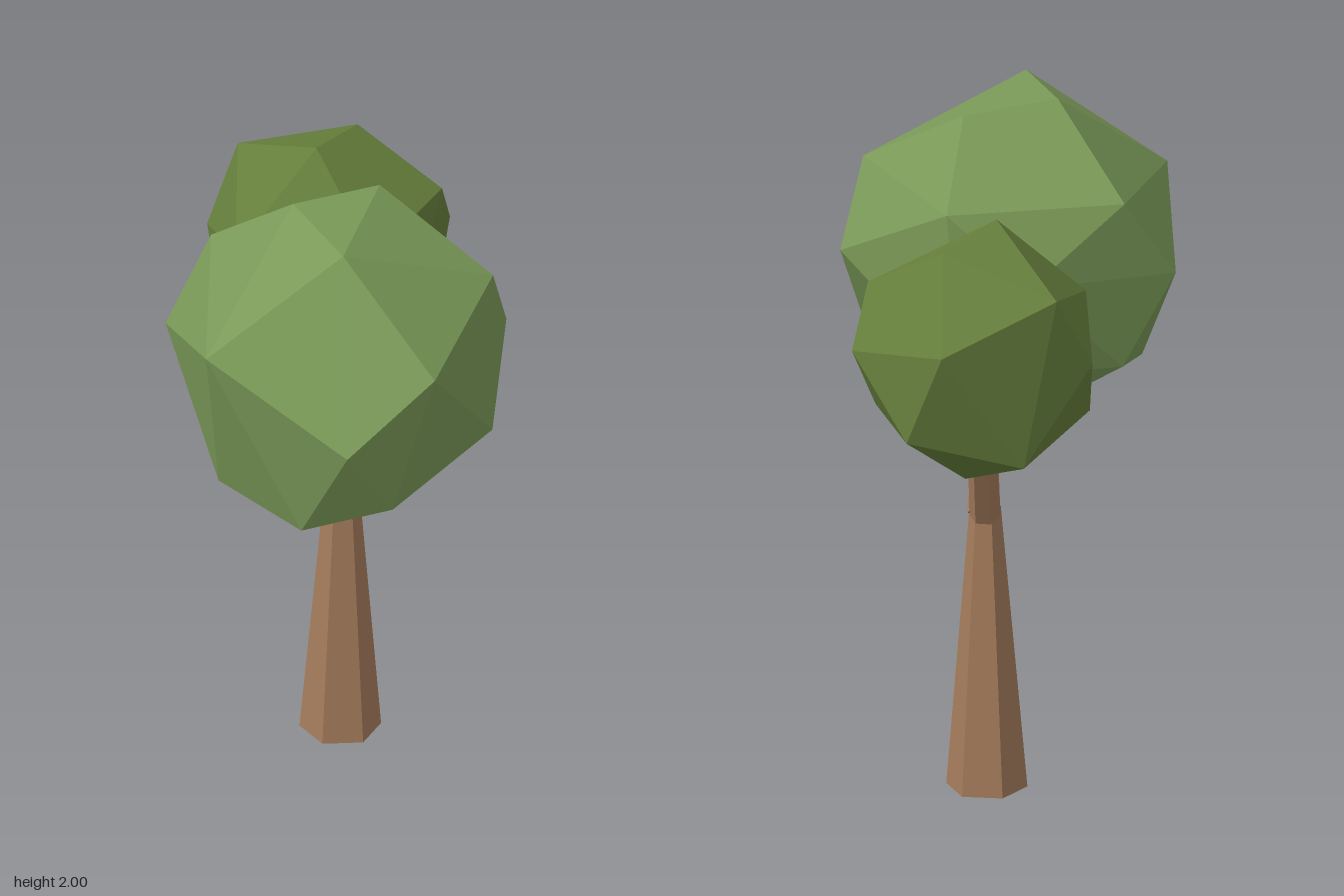
import * as THREE from 'three';
import { ConvexGeometry } from 'three/addons/geometries/ConvexGeometry.js';

const material = (color) => new THREE.MeshStandardMaterial({ color, flatShading: true });
const wood = material(0xa57c5c);
const lightLeaf = material(0x7b9a58);
const darkLeaf = material(0x667f3c);

// Tapered six-sided limb between two points
function limb(name, from, to, r0, r1) {
  const a = new THREE.Vector3(...from), b = new THREE.Vector3(...to);
  const dir = b.clone().sub(a);
  const geo = new THREE.CylinderGeometry(r1, r0, dir.length(), 6, 1, false, Math.PI / 4);
  const mesh = new THREE.Mesh(geo, wood);
  mesh.name = name;
  mesh.position.copy(a).add(b).multiplyScalar(0.5);
  mesh.quaternion.setFromUnitVectors(new THREE.Vector3(0, 1, 0), dir.normalize());
  return mesh;
}

// Faceted foliage: hull of a few corner points
function crown(name, corners, mat) {
  const mesh = new THREE.Mesh(new ConvexGeometry(corners.map((c) => new THREE.Vector3(...c))), mat);
  mesh.name = name;
  return mesh;
}

export function createModel() {
  const tree = new THREE.Group();
  tree.name = 'tree';

  // Trunk and forked branches
  tree.add(
    limb('trunk', [-0.035, 0, -0.14], [-0.03, 0.87, -0.14], 0.118, 0.045),
    limb('frontBranch', [-0.03, 0.85, -0.15], [0.04, 1.095, 0.025], 0.048, 0.034),
    limb('backBranch', [-0.03, 0.83, -0.14], [-0.1, 1.28, -0.35], 0.046, 0.038),
  );

  // Large front crown, from top to bottom
  tree.add(crown('largeCrown', [
    [-0.1, 2.0, 0.24], [0.09, 1.98, 0.46], [0.12, 1.98, 0.06],
    [0.47, 1.77, 0.15], [-0.37, 1.77, 0.09], [0.07, 1.77, -0.19],
    [0.39, 1.69, 0.62], [-0.28, 1.69, 0.63], [-0.17, 1.56, -0.14],
    [0.48, 1.53, 0.0], [-0.48, 1.53, 0.21], [0.16, 1.48, 0.76],
    [0.02, 1.27, -0.2], [0.47, 1.25, 0.16], [0.27, 1.25, 0.64], [-0.36, 1.26, 0.1],
    [-0.28, 1.16, 0.44], [0, 1.14, 0.63], [0, 1.03, 0.05], [0.18, 1.02, 0.27],
  ], lightLeaf));

  // Small back crown, from top to bottom
  tree.add(crown('smallCrown', [
    [-0.14, 1.84, -0.32], [-0.06, 1.8, -0.53], [-0.41, 1.7, -0.52],
    [0.2, 1.65, -0.47], [0.06, 1.6, -0.15], [-0.34, 1.58, -0.13],
    [-0.15, 1.57, -0.76], [0.2, 1.48, -0.59], [-0.48, 1.48, -0.42],
    [0.13, 1.27, -0.19], [0.18, 1.27, -0.46], [-0.02, 1.27, -0.71], [-0.41, 1.27, -0.27],
    [-0.34, 1.2, -0.6], [-0.19, 1.2, -0.13], [-0.1, 1.08, -0.46],
  ], darkLeaf));

  return tree;
}
